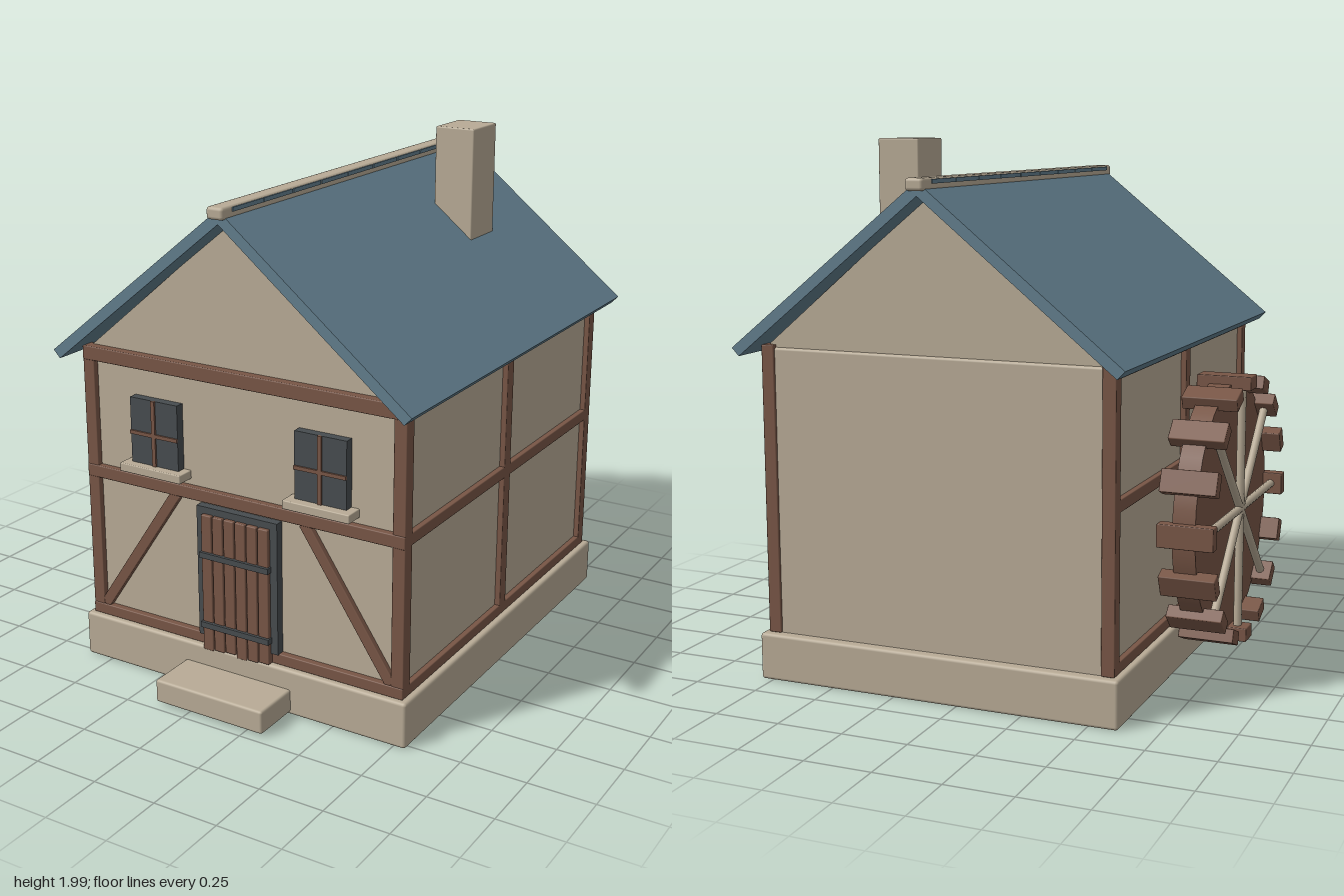
import * as THREE from 'three';
import { RoundedBoxGeometry } from 'three/addons/geometries/RoundedBoxGeometry.js';

const material = (name, color, side = THREE.FrontSide) => {
  const m = new THREE.MeshStandardMaterial({ color, side });
  m.name = name;
  return m;
};

export function createModel() {
  const house = new THREE.Group();
  house.name = 'watermill';
  const plaster = material('beige plaster and stone', 0xb8ab96);
  const timber = material('brown timber', 0x785646);
  const roofBlue = material('blue roof', 0x627e8d);
  const slate = material('dark slate', 0x474c4f);
  const CX = 0.093; // centre line of the house

  const add = (name, geometry, mat, parent = house) => {
    const mesh = new THREE.Mesh(geometry, mat);
    mesh.name = name;
    parent.add(mesh);
    return mesh;
  };
  // box given by its min and max on each axis, optionally with soft edges
  const box = (name, mat, [x0, x1], [y0, y1], [z0, z1], r = 0, parent = house) => {
    const size = [x1 - x0, y1 - y0, z1 - z0];
    const geo = r ? new RoundedBoxGeometry(...size, 2, r) : new THREE.BoxGeometry(...size);
    const mesh = add(name, geo, mat, parent);
    mesh.position.set((x0 + x1) / 2, (y0 + y1) / 2, (z0 + z1) / 2);
    return mesh;
  };
  // outline in x and y, run along z from z0 to z1
  const prism = (name, mat, points, z0, z1) => {
    const shape = new THREE.Shape(points.map(([x, y]) => new THREE.Vector2(CX + x, y)));
    const mesh = add(name, new THREE.ExtrudeGeometry(shape, { depth: z1 - z0, bevelEnabled: false }), mat);
    mesh.position.z = z0;
  };

  // base, walls and gables
  box('foundation', plaster, [-0.612, 0.798], [0.01, 0.187], [-0.88, 0.78], 0.012);
  box('doorStep', plaster, [-0.14, 0.325], [0.02, 0.11], [0.7, 0.97], 0.01);
  box('walls', plaster, [-0.568, 0.754], [0.15, 1.255], [-0.842, 0.735], 0.01);
  prism('gable', plaster, [[-0.655, 1.245], [0.655, 1.245], [0.655, 1.27], [0, 1.82], [-0.655, 1.27]], -0.83, 0.725);

  // timber frame: posts and rails on both long sides
  for (const side of [-1, 1]) {
    const outer = CX + side * 0.682;
    const xs = (depth) => [Math.min(outer, outer - side * depth), Math.max(outer, outer - side * depth)];
    box('frontPost', timber, xs(0.05), [0.187, 1.265], [0.705, 0.757], 0.004);
    box('middlePost', timber, xs(0.05), [0.187, 1.265], [-0.075, -0.022], 0.004);
    box('backPost', timber, xs(0.05), [0.187, 1.265], [-0.852, -0.8], 0.004);
    for (const [y0, y1] of [[0.187, 0.228], [0.755, 0.8], [1.214, 1.262]]) {
      box('sideRail', timber, xs(0.045), [y0, y1], [-0.845, 0.75], 0.004);
    }
    // slanted front brace
    const a = new THREE.Vector2(CX + side * 0.275, 0.76);
    const b = new THREE.Vector2(CX + side * 0.63, 0.23);
    const brace = box('brace', timber, [-0.021, 0.021], [0, a.distanceTo(b)], [0.72, 0.756], 0.004);
    brace.position.set((a.x + b.x) / 2, (a.y + b.y) / 2, 0.738);
    brace.rotation.z = Math.atan2(b.x - a.x, a.y - b.y);
  }
  for (const [y0, y1] of [[0.187, 0.23], [0.754, 0.802], [1.214, 1.268]]) {
    box('frontRail', timber, [-0.588, 0.775], [y0, y1], [0.71, 0.76], 0.004);
  }

  // roof with ridge
  prism('roof', roofBlue, [
    [-0.745, 1.262], [-0.717, 1.233], [0, 1.812], [0.717, 1.233], [0.745, 1.262], [0, 1.862],
  ], -0.945, 0.845);
  box('ridgeCap', plaster, [CX - 0.034, CX + 0.034], [1.83, 1.874], [-0.968, 0.866], 0.012);
  for (let i = 0; i < 9; i++) {
    const z = 0.807 - i * 0.19;
    box('ridgeTile', roofBlue, [CX - 0.037, CX + 0.037], [1.853, 1.868], [z - 0.184, z]);
  }
  box('chimney', plaster, [0.29, 0.453], [1.5, 2], [-0.535, -0.34], 0.006);

  // windows
  for (const side of [-1, 1]) {
    const x = CX + side * 0.354;
    const win = new THREE.Group();
    win.name = 'window';
    house.add(win);
    box('pane', slate, [x - 0.105, x + 0.105], [0.855, 1.108], [0.72, 0.77], 0, win);
    box('upright', timber, [x - 0.008, x + 0.008], [0.855, 1.108], [0.765, 0.777], 0, win);
    box('crossbar', timber, [x - 0.105, x + 0.105], [0.968, 0.982], [0.765, 0.777], 0, win);
    box('sill', plaster, [x - 0.136, x + 0.136], [0.824, 0.857], [0.72, 0.806], 0.004, win);
  }

  // door
  const door = new THREE.Group();
  door.name = 'door';
  house.add(door);
  box('doorFrame', slate, [-0.081, 0.266], [0.228, 0.742], [0.72, 0.768], 0, door);
  for (let i = 0; i < 6; i++) {
    const x = -0.053 + i * 0.049;
    box('plank', timber, [x, x + 0.044], [0.177 + (i % 3) * 0.005, 0.716], [0.74, 0.784], 0.004, door);
  }
  for (const y of [0.283, 0.562]) {
    box('strap', slate, [-0.055, 0.242], [y - 0.011, y + 0.011], [0.77, 0.795], 0, door);
  }

  // water wheel: disc, spokes on the outer face, sixteen paddles
  const wheel = new THREE.Group();
  wheel.name = 'waterWheel';
  wheel.position.set(-0.74, 0.622, -0.053);
  house.add(wheel);
  const disc = add('wheelDisc', new THREE.CylinderGeometry(0.48, 0.48, 0.085, 32), timber, wheel);
  disc.rotation.z = Math.PI / 2;
  disc.position.x = 0.012;
  for (let i = 0; i < 4; i++) {
    const spoke = add('spoke', new THREE.CylinderGeometry(0.016, 0.016, 0.92, 10), plaster, wheel);
    spoke.position.x = -0.06;
    spoke.rotation.x = i * Math.PI / 4;
  }
  for (let i = 0; i < 16; i++) {
    const t = i * Math.PI / 8;
    const paddle = add('paddle', new RoundedBoxGeometry(0.21, 0.052, 0.086, 1, 0.004), timber, wheel);
    paddle.position.set(0, Math.cos(t) * 0.482, Math.sin(t) * 0.482);
    paddle.rotation.x = t;
  }
  return house;
}
